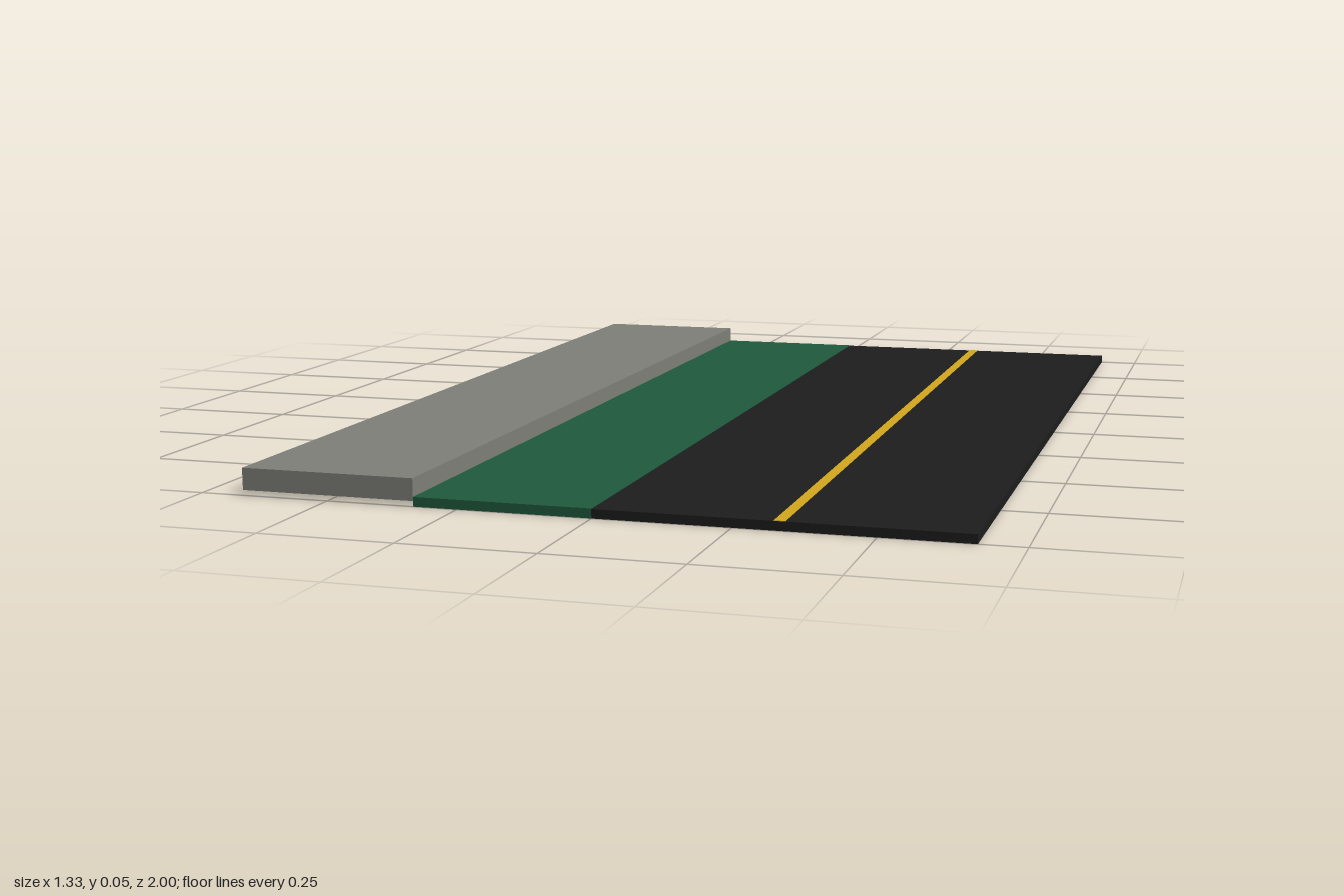
import * as THREE from 'three';

// Road segment: each strip runs the full length along z
const LENGTH = 2;

function strip(name, color, x0, x1, y0, y1) {
  const mesh = new THREE.Mesh(
    new THREE.BoxGeometry(x1 - x0, y1 - y0, LENGTH),
    new THREE.MeshStandardMaterial({ color })
  );
  mesh.name = name;
  mesh.position.set((x0 + x1) / 2, (y0 + y1) / 2, 0);
  return mesh;
}

export function createModel() {
  const model = new THREE.Group();
  model.name = 'roadSegment';
  model.add(
    // raised pavement
    strip('sidewalk', 0x80807a, -0.667, -0.333, 0.01, 0.051),
    // green lane beside the pavement
    strip('bikeLane', 0x1f5a3c, -0.333, 0, 0, 0.0175),
    // asphalt with its centre line
    strip('roadway', 0x1d1d1d, 0, 0.667, 0, 0.0167),
    strip('centreLine', 0xd4a81c, 0.323, 0.343, 0.0157, 0.0177)
  );
  return model;
}
